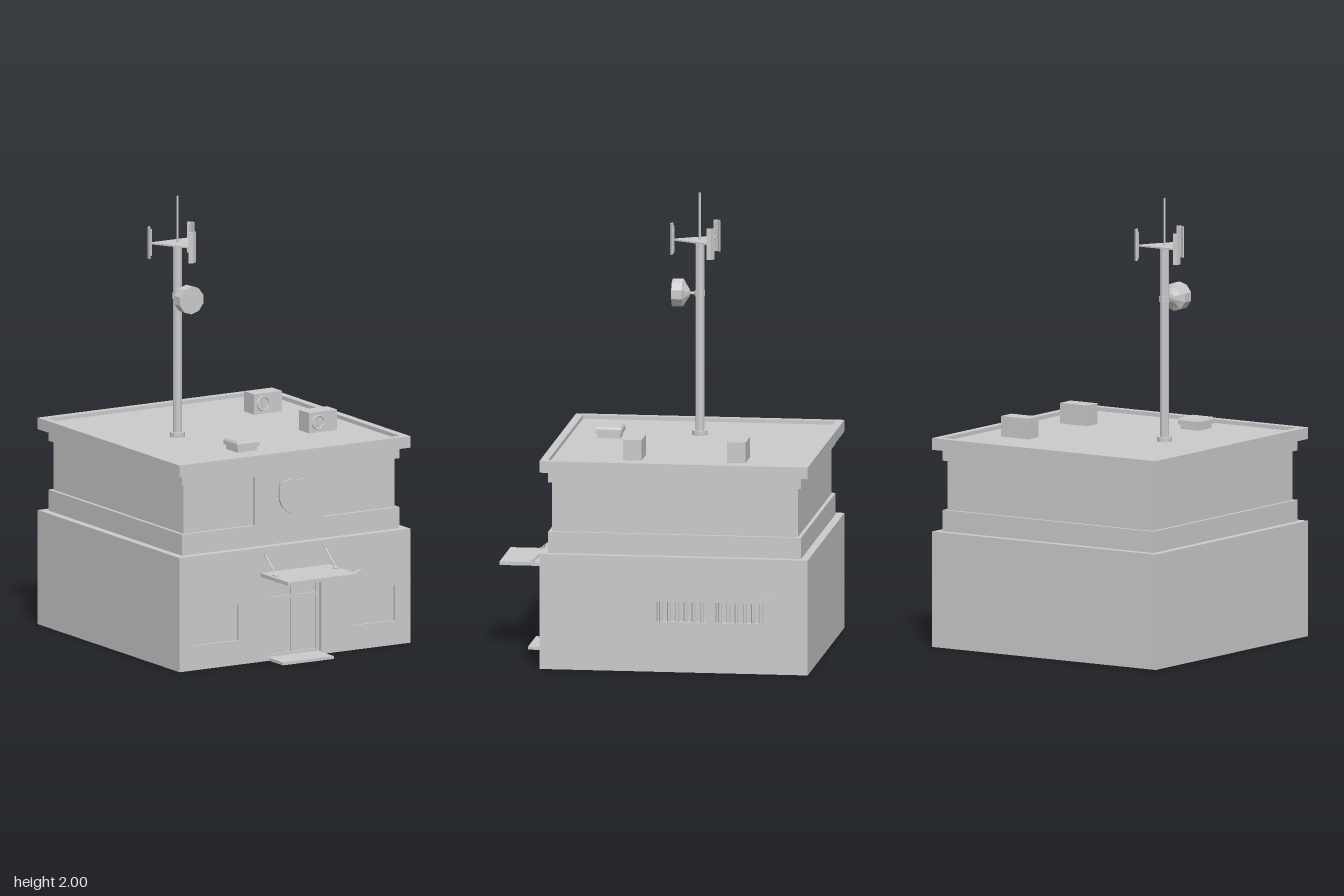
import * as THREE from 'three';

const grey = new THREE.MeshStandardMaterial({ color: 0xcccccc, flatShading: true, side: THREE.DoubleSide });
const CX = -0.0175, CZ = -0.1175; // centre of the building plan

function add(parent, name, geo, x = 0, y = 0, z = 0) {
  const m = new THREE.Mesh(geo, grey);
  m.name = name;
  m.position.set(x, y, z);
  parent.add(m);
  return m;
}

// box given by its extents
function box(parent, name, x0, x1, y0, y1, z0, z1) {
  return add(parent, name, new THREE.BoxGeometry(x1 - x0, y1 - y0, z1 - z0),
    (x0 + x1) / 2, (y0 + y1) / 2, (z0 + z1) / 2);
}

// square storey centred on the plan
function storey(parent, name, w, y0, y1) {
  return box(parent, name, CX - w / 2, CX + w / 2, y0, y1, CZ - w / 2, CZ + w / 2);
}

// flat plate with rectangular holes; rects are [x0, x1, y0, y1]
function plate(rect, holes, depth) {
  const path = ([x0, x1, y0, y1]) => [[x0, y0], [x1, y0], [x1, y1], [x0, y1]].map(p => new THREE.Vector2(...p));
  const s = new THREE.Shape(path(rect));
  holes.forEach(h => s.holes.push(new THREE.Path(path(h).reverse())));
  return new THREE.ExtrudeGeometry(s, { depth, bevelEnabled: false });
}

// round bar between two points
function bar(parent, name, a, b, r, sides = 8) {
  const A = new THREE.Vector3(...a), B = new THREE.Vector3(...b), d = B.clone().sub(A);
  const m = add(parent, name, new THREE.CylinderGeometry(r, r, d.length(), sides));
  m.position.copy(A).add(B).multiplyScalar(0.5);
  m.quaternion.setFromUnitVectors(new THREE.Vector3(0, 1, 0), d.normalize());
  return m;
}

function group(parent, name, x = 0, y = 0, z = 0) {
  const g = new THREE.Group();
  g.name = name;
  g.position.set(x, y, z);
  parent.add(g);
  return g;
}

// camera on a wall bracket: the wall lies behind at z = 0, the lens looks to -x
function wallCamera(parent, x, y, z, turn) {
  const g = group(parent, 'wallCamera', x, y, z);
  g.rotation.y = turn;
  box(g, 'cameraPlate', -0.008, 0.008, -0.02, 0, 0, 0.004);
  bar(g, 'cameraArm', [0, -0.012, 0], [0, -0.012, 0.018], 0.003, 6);
  bar(g, 'cameraNeck', [0, -0.014, 0.017], [0, 0.004, 0.017], 0.004, 6);
  const body = group(g, 'cameraBody', 0, 0.004, 0.017);
  body.rotation.z = 0.33;
  box(body, 'cameraCase', -0.02, 0.02, -0.008, 0.007, -0.008, 0.008);
  box(body, 'cameraHood', -0.025, 0.02, 0.007, 0.01, -0.01, 0.01);
}

function roofUnit(parent, z) {
  const g = group(parent, 'roofUnit', 0.3425, 0.915, z);
  box(g, 'unitCase', -0.0725, 0.0725, 0, 0.092, -0.042, 0.04);
  const ring = add(g, 'fanRing', new THREE.TorusGeometry(0.03, 0.003, 4, 16), -0.027, 0.046, 0.041);
  ring.scale.z = 1.5;
  const hub = add(g, 'fanHub', new THREE.CylinderGeometry(0.008, 0.008, 0.006, 8), -0.027, 0.046, 0.041);
  hub.rotation.x = Math.PI / 2;
  for (let i = 0; i < 4; i++) {
    const b = add(g, 'fanBlade', new THREE.BoxGeometry(0.058, 0.006, 0.003), -0.027, 0.046, 0.04);
    b.rotation.z = i * Math.PI / 4;
  }
}

function buildWalls(root) {
  const g = group(root, 'building');
  const windows = [[-0.535, -0.31, 0.11, 0.27], [0.28, 0.5, 0.11, 0.27]];
  const door = [-0.155, 0.12, 0.012, 0.385];
  const slits = [[0.042, 0.26, 0.225, 0.315], [0.305, 0.525, 0.225, 0.315]]; // in -z

  // ground floor: core plus pierced front and side walls
  box(g, 'groundFloor', -0.615, 0.55, 0, 0.515, -0.715, 0.45);
  add(g, 'frontWall', plate([-0.615, 0.58, 0, 0.515], [...windows, door], 0.03), 0, 0, 0.45);
  const side = add(g, 'sideWall', plate([-0.45, 0.715, 0, 0.515], slits, 0.03), 0.55);
  side.rotation.y = Math.PI / 2;

  for (const [x0, x1, y0, y1] of windows) box(g, 'frontWindow', x0, x1, y0, y1, 0.45, 0.469);
  for (const [a, b] of slits)
    for (let i = 0; i < 6; i++)
      bar(g, 'windowBar', [0.567, 0.225, -(a + (b - a) * (i + 0.5) / 6)],
        [0.567, 0.315, -(a + (b - a) * (i + 0.5) / 6)], 0.009, 6);

  // double door with panes and transoms
  const panes = [];
  for (const x of [-0.135, -0.005]) panes.push([x, x + 0.11, 0.025, 0.268], [x, x + 0.11, 0.28, 0.328]);
  add(g, 'doorFrame', plate(door, panes, 0.01), 0, 0, 0.45);

  // upper floor
  storey(g, 'lowerBand', 1.126, 0.515, 0.61);
  storey(g, 'upperWall', 1.094, 0.61, 0.83);
  storey(g, 'upperBand', 1.126, 0.83, 0.88);
  box(g, 'frontPier', -0.203, 0.153, 0.61, 0.83, 0.42, 0.4455);
  storey(g, 'roofSlab', 1.195, 0.88, 0.915);
  const rim = add(g, 'parapet', plate([-0.615, 0.58, -0.48, 0.715], [[-0.58, 0.545, -0.445, 0.68]], 0.017), 0, 0.915);
  rim.rotation.x = -Math.PI / 2;

  // plain shield relief
  const s = new THREE.Shape();
  s.moveTo(0, 0.165);
  s.quadraticCurveTo(0.025, 0.145, 0.06, 0.155);
  s.quadraticCurveTo(0.066, 0.14, 0.064, 0.07);
  s.quadraticCurveTo(0.058, 0.03, 0, 0);
  s.quadraticCurveTo(-0.058, 0.03, -0.064, 0.07);
  s.quadraticCurveTo(-0.066, 0.14, -0.06, 0.155);
  s.quadraticCurveTo(-0.025, 0.145, 0, 0.165);
  add(g, 'wallShield', new THREE.ExtrudeGeometry(s, { depth: 0.015, bevelEnabled: false, curveSegments: 6 }), -0.016, 0.643, 0.442);
}

function buildEntrance(root) {
  const g = group(root, 'entrance');
  box(g, 'doorStep', -0.15, 0.113, 0, 0.013, 0.45, 0.595);
  box(g, 'canopy', -0.197, 0.16, 0.385, 0.401, 0.48, 0.715);
  for (const x of [-0.172, 0.138]) {
    bar(g, 'canopyRod', [x, 0.48, 0.483], [x, 0.403, 0.575], 0.004);
    box(g, 'rodWallPlate', x - 0.006, x + 0.006, 0.468, 0.492, 0.48, 0.486);
    box(g, 'rodFoot', x - 0.011, x + 0.011, 0.401, 0.406, 0.562, 0.584);
  }
}

function buildRoof(root) {
  const g = group(root, 'roofItems');
  roofUnit(g, -0.373);
  roofUnit(g, 0.09);
  // hatch with chamfered lid
  box(g, 'hatchCurb', -0.212, -0.113, 0.915, 0.94, 0.215, 0.315);
  box(g, 'hatchLid', -0.22, -0.105, 0.935, 0.955, 0.207, 0.324);
  const top = new THREE.CylinderGeometry(0.053 * Math.SQRT2, 0.058 * Math.SQRT2, 0.01, 4);
  top.rotateY(Math.PI / 4);
  add(g, 'hatchTop', top, -0.1625, 0.96, 0.2655);
}

function buildMast(root) {
  const g = group(root, 'mast', -0.257, 0, -0.12);
  bar(g, 'mastPole', [0, 0.915, 0], [0, 1.785, 0], 0.02);
  bar(g, 'mastFlange', [0, 0.915, 0], [0, 0.936, 0], 0.034, 12);
  bar(g, 'lightningRod', [0, 1.785, 0], [0, 2, 0], 0.005, 6);
  add(g, 'antennaPlatform', new THREE.CylinderGeometry(0.126, 0.126, 0.007, 3), 0, 1.787);

  // three panel antennas on the platform corners
  for (let i = 0; i < 3; i++) {
    const a = group(g, 'antenna', 0, 1.79, 0);
    a.rotation.y = i * Math.PI * 2 / 3;
    bar(a, 'antennaPole', [0, -0.06, 0.116], [0, 0.06, 0.116], 0.004, 6);
    for (const y of [-0.04, 0.04]) box(a, 'antennaClamp', -0.005, 0.005, y - 0.005, y + 0.005, 0.116, 0.126);
    for (const s of [-1, 1]) {
      const p = add(a, 'antennaPanel', new THREE.BoxGeometry(0.02, 0.14, 0.006), s * 0.009, 0, 0.126);
      p.rotation.y = s * 0.45;
    }
  }

  // drum dish facing the front
  const profile = [[0, -0.078], [0.018, -0.074], [0.045, -0.056], [0.063, -0.047], [0.063, 0], [0, 0]]
    .map(p => new THREE.Vector2(...p));
  const dish = add(g, 'dish', new THREE.LatheGeometry(profile, 10), 0, 1.55, 0.12);
  dish.rotation.x = Math.PI / 2;
  bar(g, 'dishArm', [0, 1.55, 0.01], [0, 1.55, 0.05], 0.007, 6);
  bar(g, 'dishCollar', [0, 1.537, 0], [0, 1.563, 0], 0.024);
}

export function createModel() {
  const root = new THREE.Group();
  root.name = 'guardStation';
  buildWalls(root);
  buildEntrance(root);
  buildRoof(root);
  buildMast(root);
  wallCamera(root, 0.297, 0.345, 0.48, 0);
  wallCamera(root, 0.58, 0.345, -0.56, Math.PI / 2);
  return root;
}
